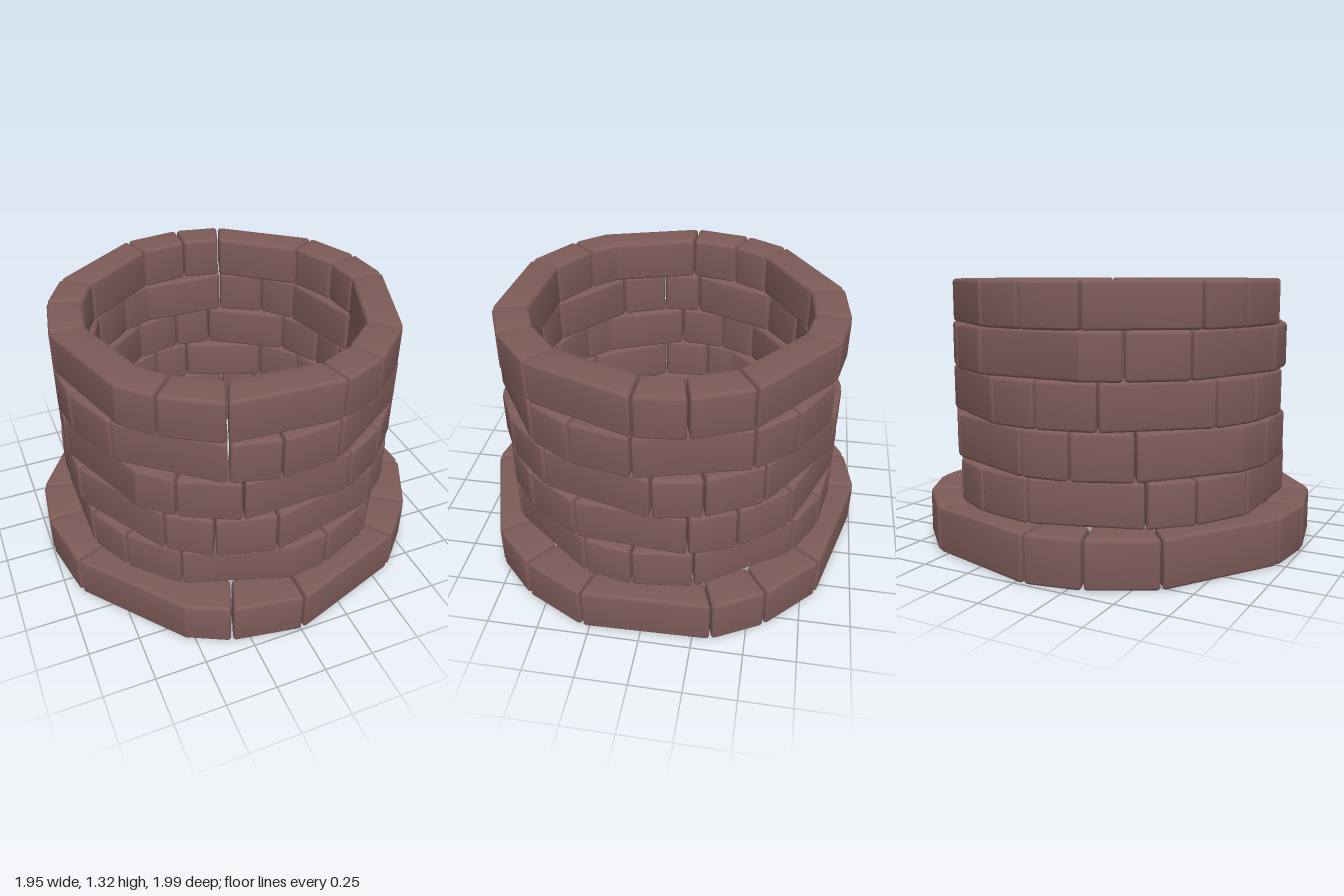
import * as THREE from 'three';
import { toCreasedNormals } from 'three/addons/utils/BufferGeometryUtils.js';

const RAD = Math.PI / 180;
const BEVEL = 0.018;
const STEPS = 4;
const GAP = 0.005;

// Rounded rectangle in (radius, height), shrunk by s, counter-clockwise
function section(r0, r1, y0, y1, s) {
  const rad = Math.max(BEVEL - s, 0.001);
  const centres = [
    [r1 - s - rad, y0 + s + rad], [r1 - s - rad, y1 - s - rad],
    [r0 + s + rad, y1 - s - rad], [r0 + s + rad, y0 + s + rad],
  ];
  const points = [];
  centres.forEach(([r, y], q) => {
    for (let i = 0; i <= STEPS; i++) {
      const a = (q - 1 + i / STEPS) * Math.PI / 2;
      points.push([r + rad * Math.cos(a), y + rad * Math.sin(a)]);
    }
  });
  return points;
}

// Stone swept along straight chords between the given angles (degrees from the front)
function stoneGeometry(angles, r0, r1, y0, y1) {
  const loops = [];
  const addLoop = (a, b, distance, shrink) => {
    const chord = 2 * r1 * Math.sin((b - a) * RAD / 2);
    const t = distance / chord;
    const sx = THREE.MathUtils.lerp(Math.sin(a * RAD), Math.sin(b * RAD), t);
    const sz = THREE.MathUtils.lerp(Math.cos(a * RAD), Math.cos(b * RAD), t);
    loops.push(section(r0, r1, y0, y1, shrink).map(([r, y]) => [r * sx, y, r * sz]));
  };
  const bevelAt = (i) => {
    const p = i / STEPS * Math.PI / 2;
    return [GAP + BEVEL * (1 - Math.cos(p)), BEVEL * (1 - Math.sin(p))];
  };
  const n = angles.length;
  for (let i = 0; i <= STEPS; i++) addLoop(angles[0], angles[1], ...bevelAt(i));
  for (let k = 1; k < n - 1; k++) addLoop(angles[k], angles[k + 1], 0, 0);
  const lastChord = 2 * r1 * Math.sin((angles[n - 1] - angles[n - 2]) * RAD / 2);
  for (let i = STEPS; i >= 0; i--) {
    const [d, s] = bevelAt(i);
    addLoop(angles[n - 2], angles[n - 1], lastChord - d, s);
  }

  const count = loops[0].length;
  const index = [];
  for (let i = 0; i < loops.length - 1; i++) {
    for (let j = 0; j < count; j++) {
      const k = (j + 1) % count;
      const a = i * count + j, b = a + count, c = (i + 1) * count + k, d = i * count + k;
      index.push(a, b, c, a, c, d);
    }
  }
  // End caps
  const last = (loops.length - 1) * count;
  for (let j = 1; j < count - 1; j++) {
    index.push(0, j, j + 1, last, last + j + 1, last + j);
  }
  const geometry = new THREE.BufferGeometry();
  geometry.setAttribute('position', new THREE.Float32BufferAttribute(loops.flat(2), 3));
  geometry.setIndex(index);
  return toCreasedNormals(geometry, 0.41);
}

// Stones of one ring: a bent stone and a short one, then four groups of long, short, short
function ringStones(start) {
  const stones = [[0, 36, 49], [49, 69.5]];
  for (let g = 0; g < 4; g++) {
    const a = 69.5 + g * 72.625;
    stones.push([a, a + 36.8], [a + 36.8, a + 52.8], [a + 52.8, a + 72.625]);
  }
  return stones.map((angles) => angles.map((a) => a + start));
}

export function createModel() {
  const model = new THREE.Group();
  model.name = 'roundStoneWall';
  const material = new THREE.MeshStandardMaterial({ color: 0x7d5b58 });

  // Rings from the wide footing up: name, start angle, radii, heights
  const rings = [
    ['footing', 291, 0.81, 1.0, 0, 0.23],
    ['wallRing1', 324, 0.69, 0.863, 0.225, 0.44],
    ['wallRing2', 212.5, 0.69, 0.863, 0.437, 0.66],
    ['wallRing3', 274, 0.69, 0.863, 0.66, 0.882],
    ['wallRing4', 160, 0.69, 0.863, 0.88, 1.102],
    ['wallRing5', 269, 0.69, 0.863, 1.1, 1.315],
  ];
  for (const [name, start, r0, r1, y0, y1] of rings) {
    const ring = new THREE.Group();
    ring.name = name;
    for (const angles of ringStones(start)) {
      const stone = new THREE.Mesh(stoneGeometry(angles, r0, r1, y0, y1), material);
      stone.name = 'stone';
      ring.add(stone);
    }
    model.add(ring);
  }
  return model;
}
